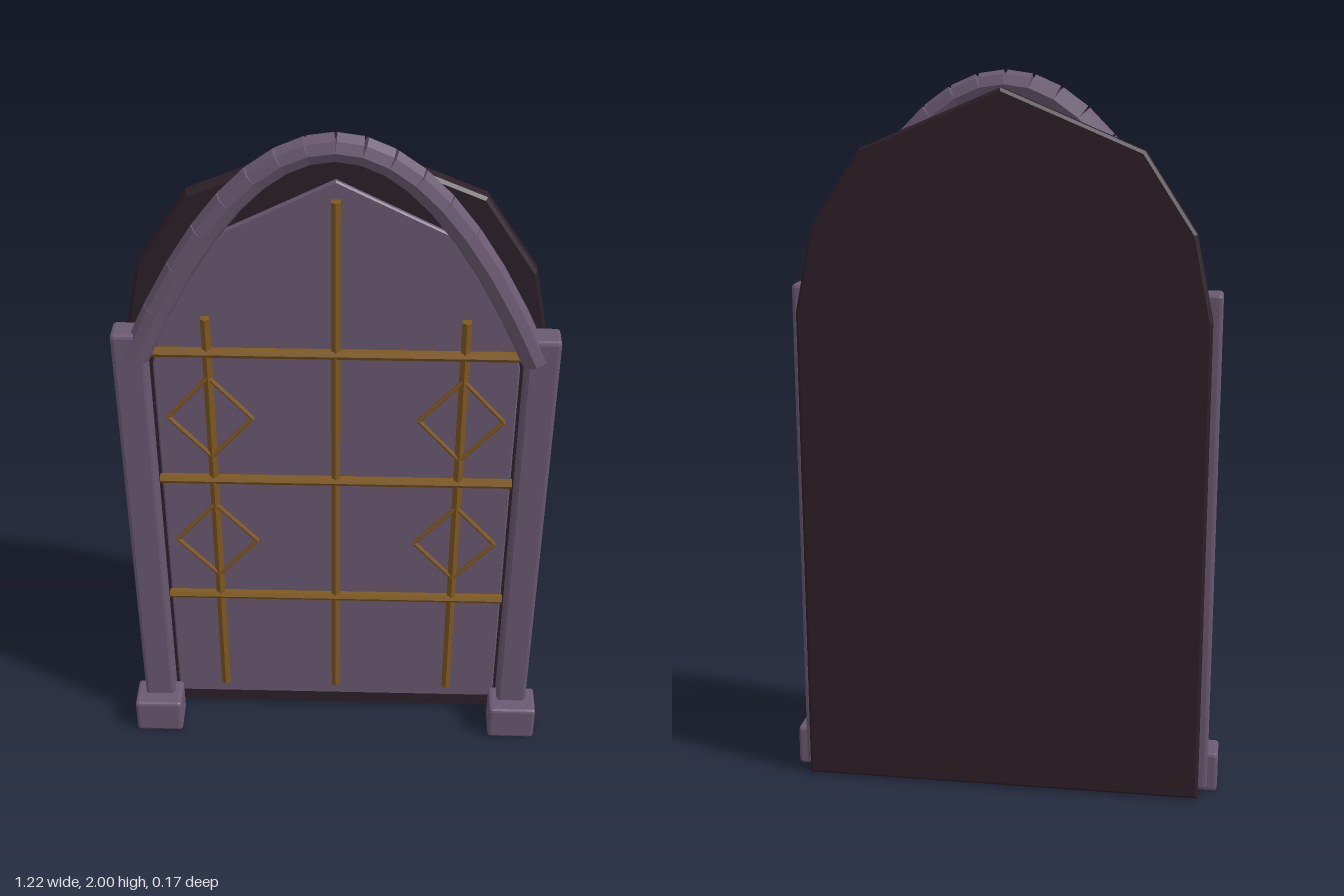
import * as THREE from 'three';
import { RoundedBoxGeometry } from 'three/addons/geometries/RoundedBoxGeometry.js';

const stone = new THREE.MeshStandardMaterial({ color: 0x6b5a72 });
const darkStone = new THREE.MeshStandardMaterial({ color: 0x2e2029 });
const brass = new THREE.MeshStandardMaterial({ color: 0x80591f });

// Faceted normals for the low-poly look
function faceted(geometry) {
  const g = geometry.index ? geometry.toNonIndexed() : geometry;
  g.computeVertexNormals();
  return g;
}

function add(parent, name, geometry, material) {
  const mesh = new THREE.Mesh(faceted(geometry), material);
  mesh.name = name;
  parent.add(mesh);
  return mesh;
}

// Straight rod between two points
function rod(parent, name, a, b, radius, sides, material) {
  const dir = b.clone().sub(a);
  const mesh = add(parent, name, new THREE.CylinderGeometry(radius, radius, dir.length(), sides), material);
  mesh.position.copy(a).add(b).multiplyScalar(0.5);
  mesh.quaternion.setFromUnitVectors(new THREE.Vector3(0, 1, 0), dir.normalize());
  return mesh;
}

// Box with chamfered edges, given by its limits
function block(parent, name, x0, x1, y0, y1, z0, z1, bevel) {
  const mesh = add(parent, name, new RoundedBoxGeometry(x1 - x0, y1 - y0, z1 - z0, 1, bevel), stone);
  mesh.position.set((x0 + x1) / 2, (y0 + y1) / 2, (z0 + z1) / 2);
}

// Symmetric pointed slab from its right-hand outline, bottom to apex
function slab(parent, name, half, z0, z1, bevel, material) {
  const left = half.filter(([x]) => x > 0).reverse().map(([x, y]) => [-x, y]);
  const shape = new THREE.Shape([...half, ...left].map(([x, y]) => new THREE.Vector2(x, y)));
  const geometry = new THREE.ExtrudeGeometry(shape, {
    depth: z1 - z0 - 2 * bevel, bevelEnabled: true, bevelThickness: bevel,
    bevelSize: bevel, bevelOffset: -bevel, bevelSegments: 1,
  });
  geometry.translate(0, 0, z0 + bevel);
  add(parent, name, geometry, material);
}

export function createModel() {
  const model = new THREE.Group();
  model.name = 'archedWindow';
  const v = (x, y, z) => new THREE.Vector3(x, y, z);

  // Backing and window panel
  slab(model, 'backPlate',
    [[0.56, 0.005], [0.56, 1.36], [0.513, 1.59], [0.375, 1.8], [0, 1.957]], -0.087, -0.042, 0.008, darkStone);
  slab(model, 'panel',
    [[0.488, 0.065], [0.488, 1.3], [0.445, 1.5], [0.316, 1.69], [0, 1.85]], -0.044, -0.028, 0.004, stone);

  // Side columns and their feet
  for (const s of [-1, 1]) {
    const side = s > 0 ? 'left' : 'right';
    const span = (a, b) => (s > 0 ? [a, b] : [-b, -a]);
    block(model, side + 'Column', ...span(0.496, 0.584), 0.01, 1.43, -0.038, 0.037, 0.01);
    block(model, side + 'Foot', ...span(0.472, 0.612), 0, 0.115, -0.02, 0.084, 0.009);
  }

  // Arch of separate straight stones along a parabola
  const arch = new THREE.Group();
  arch.name = 'arch';
  model.add(arch);
  const stones = 16, halfSpan = 0.522;
  const onArch = (i) => {
    const x = halfSpan * (2 * i / stones - 1);
    return v(x, 1.963 - 2.22 * x * x, 0.013);
  };
  for (let i = 0; i < stones; i++) rod(arch, 'archStone', onArch(i), onArch(i + 1), 0.037, 8, stone);

  // Lattice bars
  const lattice = new THREE.Group();
  lattice.name = 'lattice';
  model.add(lattice);
  for (const [x, top] of [[-0.34, 1.455], [0, 1.8], [0.34, 1.455]]) {
    rod(lattice, 'uprightBar', v(x, 0.12, -0.018), v(x, top, -0.018), 0.014, 6, brass);
  }
  for (const y of [0.49, 0.925, 1.35]) {
    rod(lattice, 'crossBar', v(-0.49, y, -0.014), v(0.49, y, -0.014), 0.014, 6, brass);
  }

  // Diamond ornaments
  for (const cx of [-0.34, 0.34]) {
    for (const cy of [0.705, 1.14]) {
      const corners = [[0.115, 0], [0, 0.133], [-0.115, 0], [0, -0.133]]
        .map(([x, y]) => v(cx + x, cy + y, -0.011));
      corners.forEach((c, i) => rod(lattice, 'diamondBar', c, corners[(i + 1) % 4], 0.006, 6, brass));
    }
  }
  return model;
}
